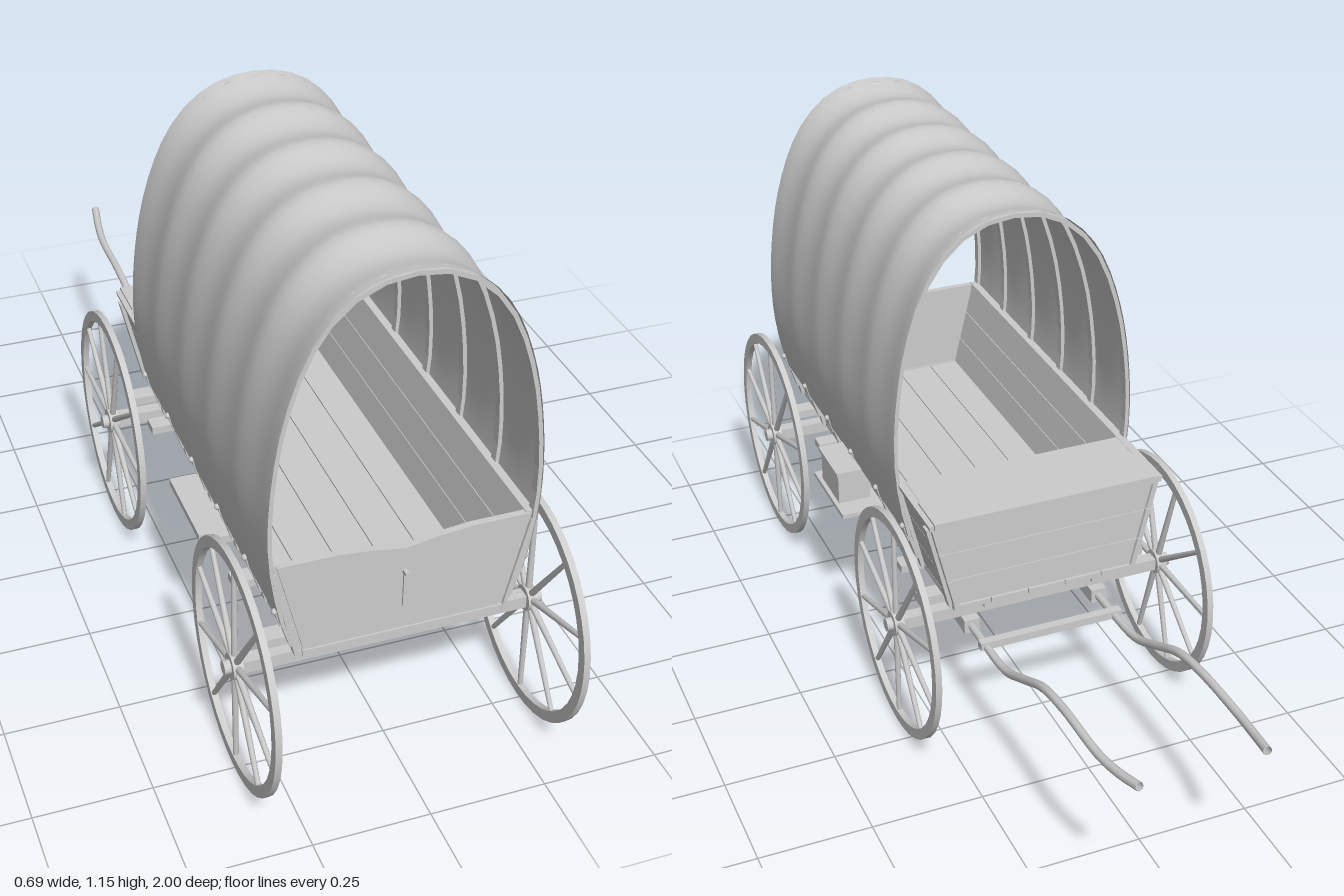
import * as THREE from 'three';

const material = new THREE.MeshStandardMaterial({ color: 0xcccccc, side: THREE.DoubleSide });
const HOOPS = [0.81, 0.634, 0.458, 0.282, 0.106, -0.07];

function add(parent, name, geometry, x = 0, y = 0, z = 0) {
  const mesh = new THREE.Mesh(geometry, material);
  mesh.name = name;
  mesh.position.set(x, y, z);
  parent.add(mesh);
  return mesh;
}

// Box given by its limits on each axis
function block(parent, name, x0, x1, y0, y1, z0, z1) {
  return add(parent, name, new THREE.BoxGeometry(x1 - x0, y1 - y0, z1 - z0),
    (x0 + x1) / 2, (y0 + y1) / 2, (z0 + z1) / 2);
}

// Outline in x and y, extruded from z0 to z1
function plate(parent, name, points, z0, z1) {
  const shape = new THREE.Shape(points.map(([x, y]) => new THREE.Vector2(x, y)));
  const geometry = new THREE.ExtrudeGeometry(shape, { depth: z1 - z0, bevelEnabled: false });
  return add(parent, name, geometry, 0, 0, z0);
}

// Distance of the sloping wall from the centre at height y
const wallX = (y) => 0.215 + (y - 0.33) * 0.24;

// Board lying along the slope of a side wall
function slopedBoard(parent, name, side, y0, y1, inset, outset, z0, z1) {
  plate(parent, name, [
    [side * (wallX(y0) - inset), y0], [side * (wallX(y0) + outset), y0],
    [side * (wallX(y1) + outset), y1], [side * (wallX(y1) - inset), y1],
  ], z0, z1);
}

// Bar of square section between two points
function bar(parent, name, a, b, size) {
  const from = new THREE.Vector3(...a), to = new THREE.Vector3(...b);
  const mesh = add(parent, name, new THREE.BoxGeometry(size, size, from.distanceTo(to)));
  mesh.position.copy(from).lerp(to, 0.5);
  mesh.lookAt(to);
}

// Arch shared by the hoops and the canvas, from the left foot to the right foot
function archPoints(count) {
  const half = [[0.255, 0.42], [0.275, 0.52], [0.283, 0.63], [0.275, 0.76], [0.252, 0.89],
    [0.21, 1.01], [0.155, 1.09], [0.085, 1.138]];
  const all = [...half, [0, 1.153], ...half.slice().reverse().map(([x, y]) => [-x, y])];
  return new THREE.SplineCurve(all.map((p) => new THREE.Vector2(...p))).getSpacedPoints(count);
}

function createWheel(name, turn) {
  const wheel = new THREE.Group();
  wheel.name = name;
  // Rim with square section
  const rim = [[0.238, -0.007], [0.262, -0.007], [0.262, 0.007], [0.238, 0.007], [0.238, -0.007]];
  for (let i = 0; i < 4; i++) {
    const pair = [rim[i], rim[i + 1]].map((p) => new THREE.Vector2(...p));
    add(wheel, 'rim', new THREE.LatheGeometry(pair, 40)).rotation.z = -Math.PI / 2;
  }
  add(wheel, 'hub', new THREE.CylinderGeometry(0.028, 0.028, 0.022, 20)).rotation.z = Math.PI / 2;
  add(wheel, 'hubCap', new THREE.CylinderGeometry(0.015, 0.015, 0.05, 14)).rotation.z = Math.PI / 2;
  for (let i = 0; i < 10; i++) {
    const a = turn + i * Math.PI / 5;
    const spoke = add(wheel, 'spoke', new THREE.CylinderGeometry(0.0055, 0.0075, 0.22, 8),
      0, Math.cos(a) * 0.132, Math.sin(a) * 0.132);
    spoke.rotation.x = a;
  }
  return wheel;
}

function createCanvas() {
  const arch = archPoints(40), rows = 50, positions = [], indices = [];
  for (let r = 0; r <= rows; r++) {
    const t = r / rows;
    const sag = 0.018 * Math.abs(Math.sin(t * Math.PI * 5)) ** 1.5;
    for (const p of arch) {
      // Canvas sinks between the hoops, most at the crown
      const lift = (p.y - 0.42) / 0.735;
      positions.push(p.x * (1 - sag * lift * 1.6), p.y - sag * lift, 0.82 - t * 0.9);
    }
  }
  const n = arch.length;
  for (let r = 0; r < rows; r++) {
    for (let i = 0; i < n - 1; i++) {
      const a = r * n + i, b = a + n;
      indices.push(a, b, a + 1, a + 1, b, b + 1);
    }
  }
  const geometry = new THREE.BufferGeometry();
  geometry.setAttribute('position', new THREE.Float32BufferAttribute(positions, 3));
  geometry.setIndex(indices);
  geometry.computeVertexNormals();
  return geometry;
}

export function createModel() {
  const model = new THREE.Group();
  model.name = 'coveredWagon';

  // Wheels and axles
  for (const [end, z] of [['front', 0.737], ['rear', -0.173]]) {
    for (const side of [1, -1]) {
      const wheel = createWheel(end + 'Wheel', side > 0 ? 0 : z < 0 ? 0.314 : 0);
      wheel.position.set(side * 0.32, 0.267, z);
      model.add(wheel);
    }
    block(model, 'axle', -0.315, 0.315, 0.253, 0.281, z - 0.015, z + 0.015);
    plate(model, 'bolster', [[-0.13, 0.281], [0.13, 0.281], [0.18, 0.308], [-0.18, 0.308]], z - 0.018, z + 0.018);
    block(model, 'bolsterBlock', -0.035, 0.035, 0.281, 0.308, z - 0.03, z + 0.03);
    block(model, 'endBeam', -0.27, 0.27, 0.308, 0.328, z - 0.02, z + 0.02);
  }

  // Reach pole and braces beneath the bed
  block(model, 'reachPole', -0.014, 0.014, 0.284, 0.302, -0.19, 0.75);
  for (const side of [1, -1]) {
    bar(model, 'brace', [side * 0.15, 0.277, 0.735], [0, 0.293, 0.38], 0.014);
    bar(model, 'brace', [side * 0.15, 0.277, -0.173], [0, 0.293, 0.16], 0.014);
    block(model, 'bedRail', side * 0.13 - 0.012, side * 0.13 + 0.012, 0.308, 0.328, -0.25, 0.8);
  }

  // Floor planks and cross beams
  for (let i = 0; i < 5; i++) {
    block(model, 'floorPlank', -0.22 + i * 0.088, -0.134 + i * 0.088, 0.328, 0.34, -0.265, 0.82);
  }
  for (const z of [0.55, 0.395, 0.21, -0.04]) {
    block(model, 'crossBeam', -0.265, 0.265, 0.312, 0.33, z - 0.02, z + 0.02);
  }

  // Sloping side walls with posts and pegs
  for (const side of [1, -1]) {
    for (let i = 0; i < 3; i++) {
      slopedBoard(model, 'sideBoard', side, 0.332 + i * 0.074, 0.404 + i * 0.074, 0.012, 0, -0.265, 0.815);
    }
    slopedBoard(model, 'topRail', side, 0.545, 0.558, 0.014, 0.004, -0.268, 0.815);
    for (const z of [...HOOPS, -0.24]) {
      slopedBoard(model, 'sidePost', side, 0.33, 0.54, 0, 0.009, z - 0.011, z + 0.011);
      if (z > -0.2) {
        add(model, 'peg', new THREE.SphereGeometry(0.007, 10, 8), side * 0.263, 0.445, z);
        bar(model, 'tieRope', [side * 0.26, 0.445, z], [side * 0.248, 0.405, z], 0.008);
      }
    }
  }

  // Dipped front panel with its latch
  plate(model, 'frontPanel', [[-0.205, 0.335], [0.205, 0.335], [0.262, 0.556], [0.14, 0.556],
    [0.07, 0.549], [0, 0.537], [-0.07, 0.549], [-0.14, 0.556], [-0.262, 0.556]], 0.805, 0.82);
  block(model, 'frontSill', -0.21, 0.21, 0.33, 0.343, 0.802, 0.824);
  bar(model, 'latch', [0, 0.483, 0.818], [0, 0.483, 0.835], 0.008);
  bar(model, 'latchStrap', [0, 0.40, 0.822], [0, 0.485, 0.822], 0.005);

  // Rear panel of three boards
  for (let i = 0; i < 3; i++) {
    const y0 = 0.335 + i * 0.07, y1 = y0 + 0.068;
    const a = wallX(y0) - 0.012, b = wallX(y1) - 0.012;
    plate(model, 'rearBoard', [[-a, y0], [a, y0], [b, y1], [-b, y1]], -0.258, -0.243);
  }

  // Driver's seat
  block(model, 'seatBoard', -0.262, 0.262, 0.546, 0.563, -0.272, -0.172);
  block(model, 'seatBoard', -0.255, 0.255, 0.543, 0.558, -0.168, -0.075);

  // Toolbox on its shelf, and the plain step opposite
  block(model, 'toolboxShelf', 0.2, 0.322, 0.33, 0.34, 0.18, 0.395);
  block(model, 'toolbox', 0.235, 0.312, 0.34, 0.415, 0.235, 0.36);
  block(model, 'toolboxLid', 0.232, 0.317, 0.415, 0.424, 0.228, 0.367);
  block(model, 'sideStep', -0.285, -0.2, 0.315, 0.33, 0.18, 0.395);

  // Bent hoops that carry the canvas
  const arch = archPoints(28).map((p) => [p.x, p.y]);
  const outer = [[0.236, 0.36], ...arch, [-0.236, 0.36]].map(([x, y]) => [x * 0.993, y - 0.003]);
  const inner = outer.map(([x, y]) => [x * 0.97, y > 0.45 ? 0.45 + (y - 0.45) * 0.986 : y]).reverse();
  for (const z of HOOPS) plate(model, 'hoop', [...outer, ...inner], z - 0.01, z + 0.01);
  add(model, 'canvasCover', createCanvas());

  // Curved shafts, narrowing inward at the tips
  for (const side of [1, -1]) {
    const path = new THREE.CatmullRomCurve3([
      [0.155, 0.236, -0.1], [0.155, 0.236, -0.25], [0.155, 0.245, -0.4], [0.155, 0.29, -0.5], [0.155, 0.338, -0.6],
      [0.155, 0.355, -0.7], [0.154, 0.36, -0.86], [0.147, 0.368, -0.93], [0.136, 0.382, -0.998],
    ].map(([x, y, z]) => new THREE.Vector3(side * x, y, z)));
    add(model, 'shaft', new THREE.TubeGeometry(path, 40, 0.0095, 8));
    block(model, 'shaftBlock', side * 0.155 - 0.018, side * 0.155 + 0.018, 0.22, 0.253, -0.21, -0.1);
  }
  block(model, 'shaftCrossbar', -0.17, 0.17, 0.232, 0.25, -0.3, -0.28);
  return model;
}
